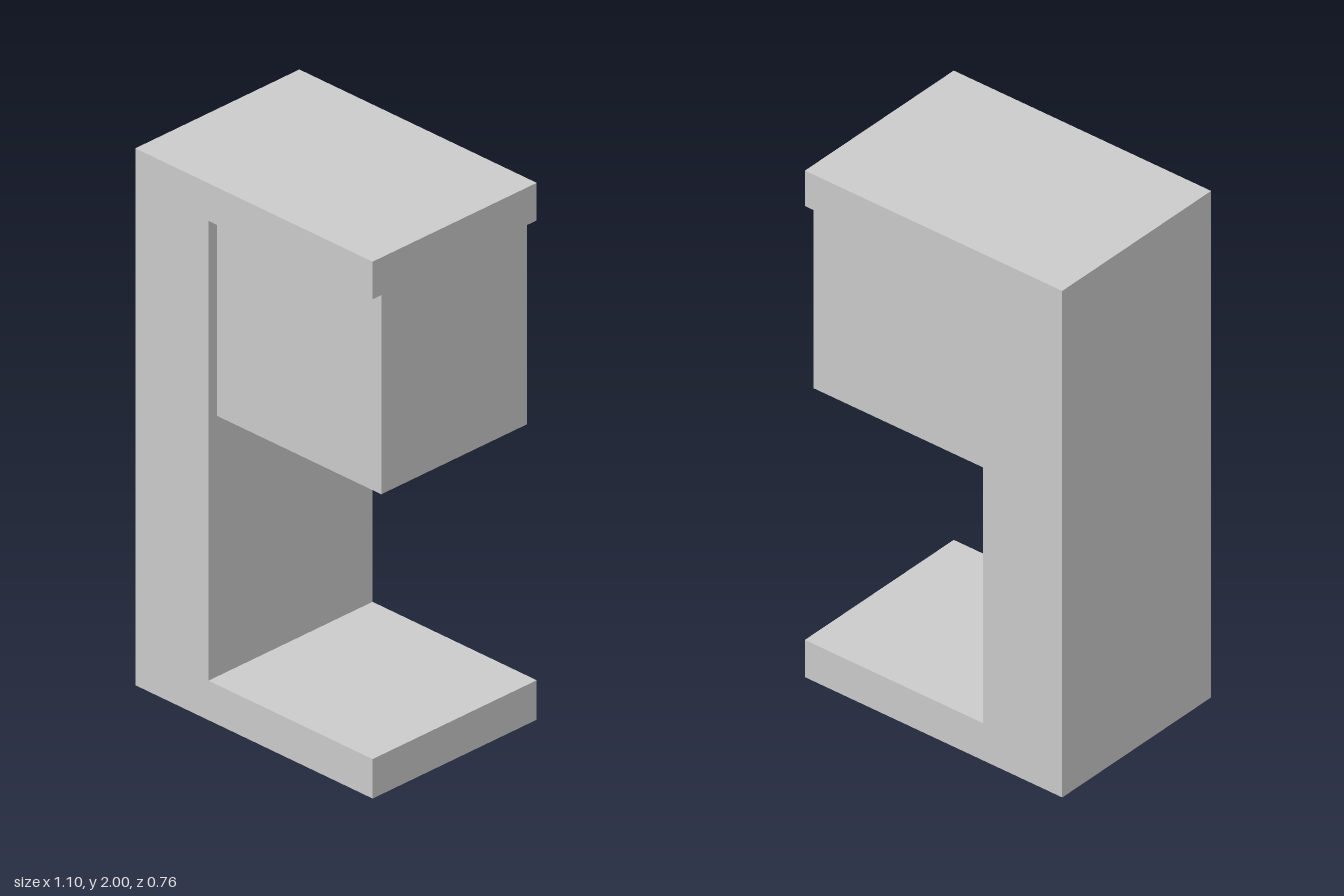
import * as THREE from 'three';

const material = new THREE.MeshStandardMaterial({ color: 0xcccccc, flatShading: true });

function addPart(group, name, geometry, x = 0, y = 0, z = 0) {
  const mesh = new THREE.Mesh(geometry, material);
  mesh.name = name;
  mesh.position.set(x, y, z);
  group.add(mesh);
}

// Rectangle outline centred on the origin
function rectangle(PathType, w, h) {
  return new PathType([[-1, -1], [1, -1], [1, 1], [-1, 1]]
    .map(([sx, sy]) => new THREE.Vector2(sx * w / 2, sy * h / 2)));
}

export function createModel() {
  const group = new THREE.Group();
  group.name = 'dispenser';

  // C-shaped frame: base, column and top overhang in one profile
  const back = -0.548, inner = -0.21, front = 0.548, depth = 0.76;
  const profile = new THREE.Shape([
    [back, 0], [front, 0], [front, 0.147], [inner, 0.147],
    [inner, 1.86], [front, 1.86], [front, 2], [back, 2],
  ].map(([x, y]) => new THREE.Vector2(x, y)));
  addPart(group, 'frame',
    new THREE.ExtrudeGeometry(profile, { depth, bevelEnabled: false }), 0, 0, -depth / 2);

  // Head hanging beneath the overhang, slightly narrower than the frame
  addPart(group, 'head', new THREE.BoxGeometry(front - inner, 0.742, 0.676),
    (front + inner) / 2, 1.489, 0.002);

  // Square spout with a small outlet bore
  const spout = rectangle(THREE.Shape, 0.112, 0.102);
  spout.holes.push(rectangle(THREE.Path, 0.036, 0.036));
  const spoutGeometry = new THREE.ExtrudeGeometry(spout, { depth: 0.208, bevelEnabled: false });
  spoutGeometry.rotateX(-Math.PI / 2);
  addPart(group, 'spout', spoutGeometry, 0.167, 0.91, 0.001);

  return group;
}
